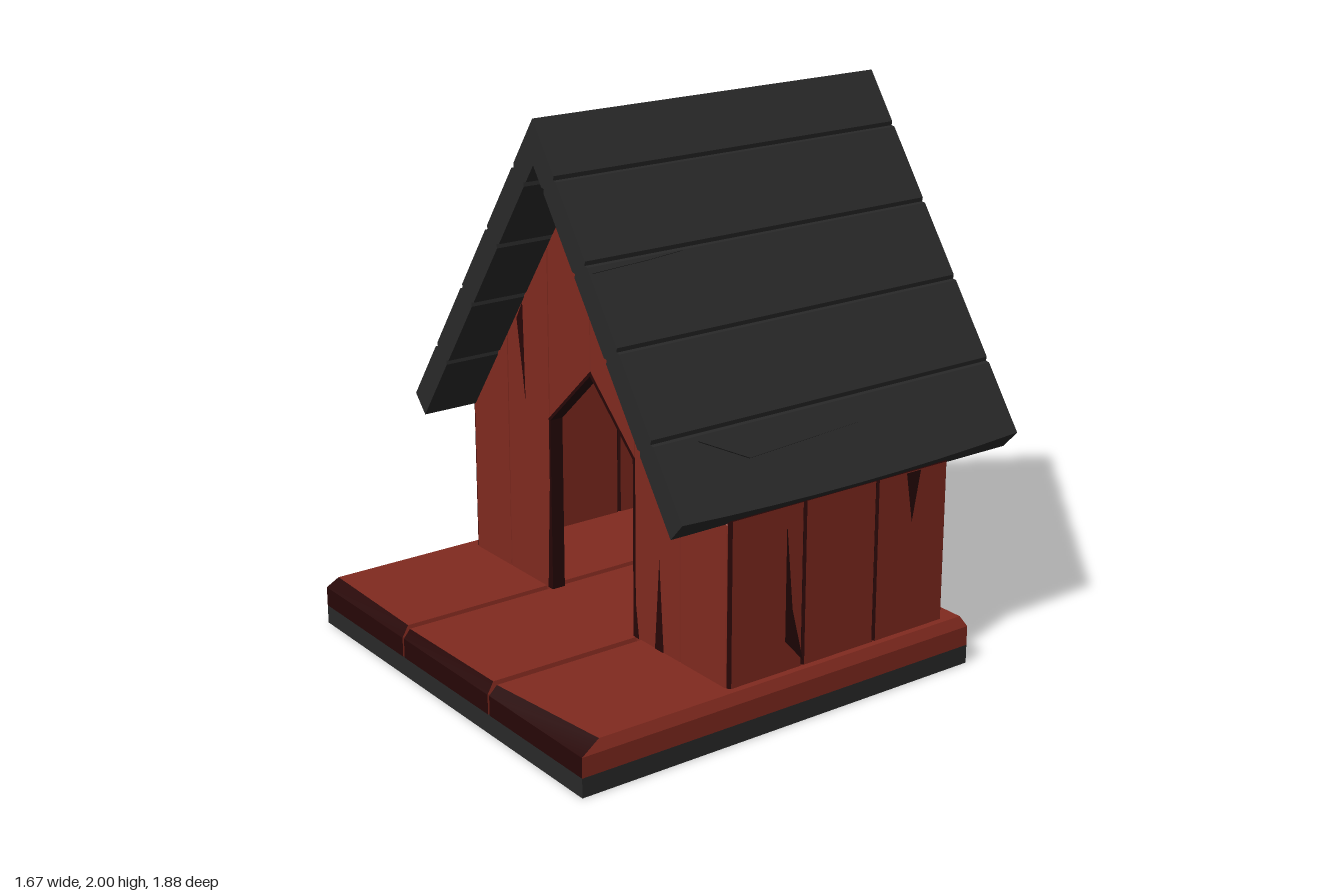
import * as THREE from 'three';

const mat = (name, color, side = THREE.FrontSide) => {
  const m = new THREE.MeshStandardMaterial({ color, side });
  m.name = name;
  return m;
};

export function createModel() {
  const red = mat('barn red', 0x812a1f);
  const dark = mat('dark red wood', 0x270606, THREE.DoubleSide);
  const grey = mat('charcoal', 0x292929);
  const model = new THREE.Group();

  const add = (name, geo, material, parent = model) => {
    const m = new THREE.Mesh(geo, material);
    m.name = name;
    parent.add(m);
    return m;
  };
  const group = (name) => {
    const g = new THREE.Group();
    g.name = name;
    model.add(g);
    return g;
  };
  const shape = (pts) => new THREE.Shape(pts.map(([x, y]) => new THREE.Vector2(x, y)));
  const box = (name, x0, x1, y0, y1, z0, z1, material, parent) => {
    const geo = new THREE.BoxGeometry(x1 - x0, y1 - y0, z1 - z0);
    geo.translate((x0 + x1) / 2, (y0 + y1) / 2, (z0 + z1) / 2);
    return add(name, geo, material, parent);
  };
  // Wall board with slightly bevelled edges
  const board = (pts, depth, b) => new THREE.ExtrudeGeometry(shape(pts), {
    depth: depth - 2 * b, bevelEnabled: true, bevelThickness: b, bevelSize: b, bevelOffset: -b, bevelSegments: 1,
  }).translate(0, 0, b);

  // Hollow grey frame at the bottom
  const frame = group('baseFrame');
  box('frameFront', -0.84, 0.83, 0, 0.07, 0.905, 0.94, grey, frame);
  box('frameBack', -0.84, 0.83, 0, 0.07, -0.73, -0.695, grey, frame);
  box('frameRight', -0.84, -0.805, 0, 0.07, -0.695, 0.905, grey, frame);
  box('frameLeft', 0.795, 0.83, 0, 0.07, -0.695, 0.905, grey, frame);

  // Three wide floor planks: chamfered tops, with a rim below and dark ends
  const floor = group('floor');
  const planks = [
    [-0.84, -0.285, 0.9, 0.91],
    [-0.275, 0.275, 0.92, 0.91],
    [0.285, 0.83, 0.915, 0.86],
  ];
  const skins = [red, red, red, red, dark, dark];
  for (const [x0, x1, zr, zl] of planks) {
    const m = box('floorPlank', x0, x1, 0.143, 0.18, -0.73, 0.94, skins, floor);
    const p = m.geometry.attributes.position;
    const mid = (x0 + x1) / 2;
    for (let i = 0; i < p.count; i++) {
      const x = p.getX(i);
      if (p.getY(i) < 0.15) continue;
      p.setZ(i, p.getZ(i) < 0 ? -0.71 : x > mid ? zl : zr);
      p.setX(i, x - Math.sign(x - mid) * (Math.abs(x) > 0.7 ? 0.02 : 0.01));
    }
    m.geometry.computeVertexNormals();
    box('plankFront', x0, x1, 0.07, 0.143, 0.905, 0.94, skins, floor);
    box('plankBack', x0, x1, 0.07, 0.143, -0.73, -0.695, skins, floor);
  }
  box('rightRim', -0.84, -0.8, 0.07, 0.143, -0.695, 0.905, red, floor);
  box('leftRim', 0.79, 0.83, 0.07, 0.143, -0.695, 0.905, red, floor);
  for (const x of [-0.28, 0.28]) {
    box('floorBeam', x - 0.03, x + 0.03, 0.045, 0.143, -0.695, 0.905, red, floor);
    box('floorJoint', x - 0.008, x + 0.008, 0.072, 0.15, -0.725, 0.91, dark, floor);
  }

  // Gable walls: six boards each, the front one with a pointed doorway
  const roofLine = (x) => 1.848 - 1.41 * Math.abs(x);
  const xs = [-0.77, -0.53, -0.26, 0, 0.26, 0.52, 0.77];
  for (const front of [true, false]) {
    const wall = group(front ? 'frontWall' : 'backWall');
    for (let i = 0; i < 6; i++) {
      const a = xs[i], b = xs[i + 1];
      const door = front && (i === 2 || i === 3);
      const low = (x) => (door ? 1.08 - 0.923 * Math.abs(x) : 0.135);
      const geo = board([[a, low(a)], [b, low(b)], [b, roofLine(b)], [a, roofLine(a)]], 0.05, 0.004);
      add('gableBoard', geo.translate(0, 0, front ? 0.27 : -0.65), red, wall);
    }
  }
  // Plain lining on the inside of the back wall
  const lining = [[-0.735, 0.17], [0.735, 0.17], [0.735, roofLine(0.735)], [0, 1.84], [-0.735, roofLine(0.735)]];
  add('innerLining', new THREE.ShapeGeometry(shape(lining)).translate(0, 0, -0.597), red);

  // Dark lining of the doorway
  const reveal = [
    [-0.262, 0.17], [-0.262, 0.842], [0, 1.085], [0.262, 0.842], [0.262, 0.17],
    [0.252, 0.17], [0.252, 0.836], [0, 1.068], [-0.252, 0.836], [-0.252, 0.17],
  ];
  const revealGeo = new THREE.ExtrudeGeometry(shape(reveal), { depth: 0.052, bevelEnabled: false });
  add('doorReveal', revealGeo.translate(0, 0, 0.27), dark);

  // Side walls: three boards each, with dark edges
  const zs = [-0.645, -0.32, 0, 0.315];
  for (const s of [1, -1]) {
    const wall = group(s > 0 ? 'leftWall' : 'rightWall');
    for (let i = 0; i < 3; i++) {
      const geo = board([[zs[i], 0.135], [zs[i + 1], 0.135], [zs[i + 1], 0.785], [zs[i], 0.785]], 0.05, 0.008);
      geo.rotateY(-Math.PI / 2).translate(s > 0 ? 0.785 : -0.735, 0, 0);
      add('sideBoard', geo, [red, dark], wall);
    }
  }

  // Dark splits in the boards
  const cracks = group('cracks');
  const gableCracks = [
    [[-0.46, 1.17], [-0.42, 1.24], [-0.41, 0.86], [-0.425, 0.96]],
    [[0.52, 1.09], [0.47, 0.87], [0.52, 0.66]],
    [[0.405, 0.52], [0.38, 0.18], [0.43, 0.18]],
  ];
  const doorCracks = [
    [[-0.26, 0.6], [-0.26, 0.18], [-0.28, 0.18], [-0.27, 0.4]],
    [[0.26, 0.45], [0.26, 0.18], [0.287, 0.18], [0.27, 0.3]],
  ];
  const sideCracks = [
    [[0.08, 0.72], [0.05, 0.4], [0, 0.2], [0.08, 0.29]],
    [[-0.45, 0.775], [-0.515, 0.775], [-0.48, 0.59]],
  ];
  for (const c of [...gableCracks, ...doorCracks])
    add('frontCrack', new THREE.ShapeGeometry(shape(c)).translate(0, 0, 0.323), dark, cracks);
  for (const c of gableCracks) add('backCrack', new THREE.ShapeGeometry(shape(c)).translate(0, 0, -0.653), dark, cracks);
  for (const c of sideCracks)
    for (const x of [0.788, -0.788])
      add('sideCrack', new THREE.ShapeGeometry(shape(c)).rotateY(-Math.PI / 2).translate(x, 0, 0), dark, cracks);

  // Roof: five bevelled planks on each slope
  const dx = 0.575, dy = -0.818, t = 0.09, g = 0.011;
  const at = (s, depth) => [s * dx + depth * dy, 2 + s * dy - depth * dx];
  const cuts = [0, 0.22, 0.525, 0.83, 1.15, 1.45];
  const splits = [
    [[1.18, 0.37], [1.26, 0.2], [1.25, -0.28], [1.275, 0.2]],
    [[0.56, 0.53], [0.54, 0.16], [0.55, 0.3]],
  ];
  for (const side of [1, -1]) {
    const slope = group(side > 0 ? 'leftRoof' : 'rightRoof');
    for (let i = 0; i < 5; i++) {
      const a = cuts[i], b = cuts[i + 1];
      const head = i === 0 ? [[0, 2], [0, 1.843]] : [at(a + g, 0), at(a, g), at(a, t - g), at(a + g, t)];
      const tail = i === 4 ? [at(b, t), at(b, 0)] : [at(b - g, t), at(b, t - g), at(b, g), at(b - g, 0)];
      const pts = [...head, ...tail].map(([x, y]) => [side * x, y]);
      const geo = new THREE.ExtrudeGeometry(shape(pts), { depth: 1.48, steps: 8, bevelEnabled: false });
      geo.translate(0, 0, -0.94);
      if (i === 4) {
        // Outer eave edge worn back towards both ends
        const p = geo.attributes.position;
        for (let k = 0; k < p.count; k++) {
          if (Math.abs(p.getX(k)) < 0.8) continue;
          const wear = 0.02 * ((p.getZ(k) + 0.2) / 0.74) ** 2;
          p.setX(k, p.getX(k) - side * wear * dx);
          p.setY(k, p.getY(k) - wear * dy);
        }
        geo.computeVertexNormals();
      }
      add('roofPlank', geo, grey, slope);
    }
    // Fine raised splinters on the planks
    const basis = new THREE.Matrix4().makeBasis(
      new THREE.Vector3(side * dx, dy, 0),
      new THREE.Vector3(0, 0, -side),
      new THREE.Vector3(-side * dy, dx, 0),
    ).setPosition(0, 2, 0);
    for (const sp of splits) {
      const geo = new THREE.ExtrudeGeometry(shape(sp.map(([s, z]) => [s, -side * z])), { depth: 0.006, bevelEnabled: false });
      add('roofSplinter', geo.applyMatrix4(basis), grey, slope);
    }
  }
  return model;
}
